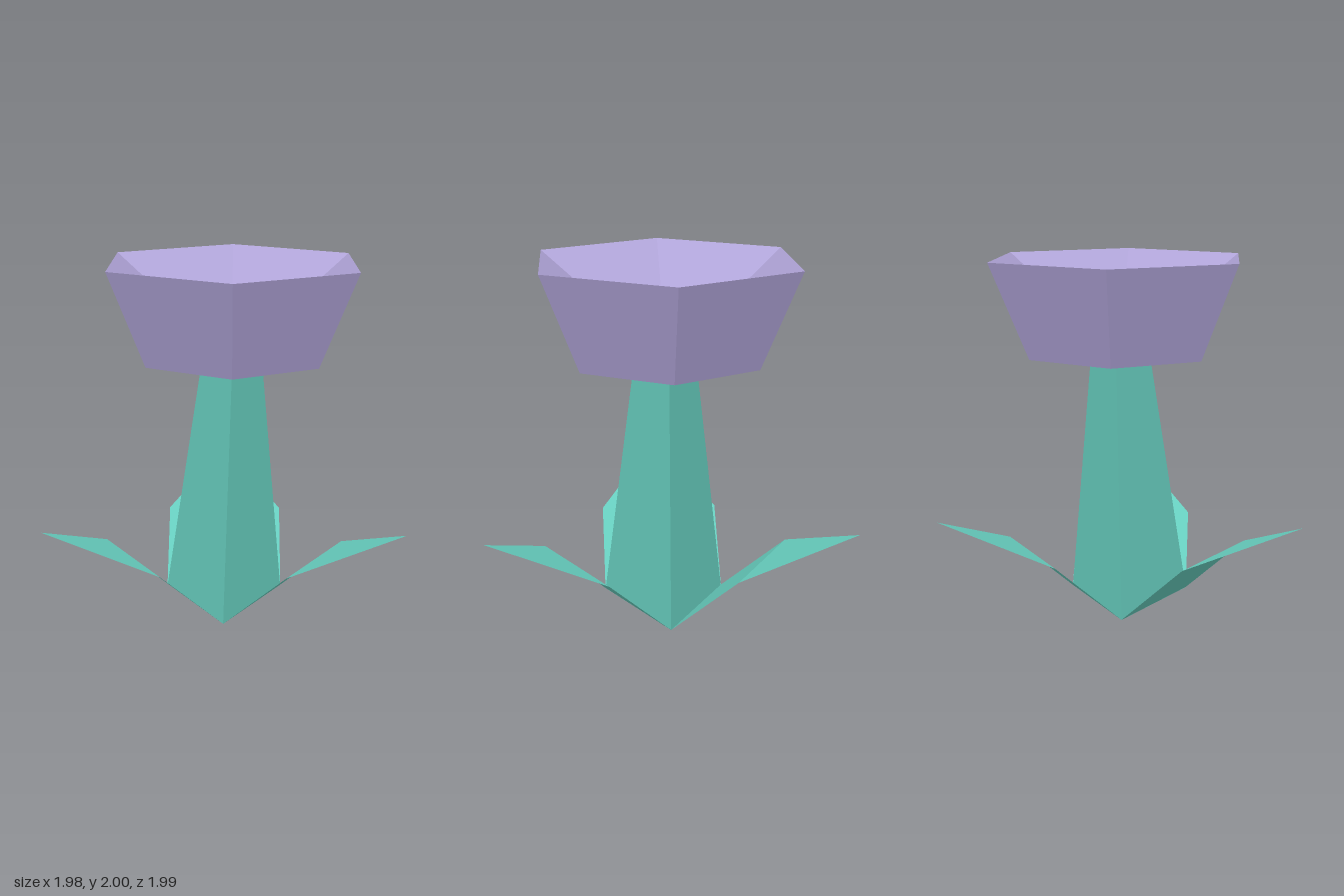
import * as THREE from 'three';

const material = (color, side = THREE.FrontSide) =>
  new THREE.MeshStandardMaterial({ color, flatShading: true, side });

function addMesh(parent, name, geometry, mat) {
  const mesh = new THREE.Mesh(geometry, mat);
  mesh.name = name;
  parent.add(mesh);
  return mesh;
}

export function createModel() {
  const model = new THREE.Group();
  model.name = 'flower';
  const green = 0x66ccbd, purple = 0xb0a4d8;
  const baseX = 0.157, headX = 0.205, stemTop = 1.455;

  // Three-sided tapered stem, sheared slightly towards +x
  const stemGeometry = new THREE.CylinderGeometry(0.195, 0.397, stemTop, 3, 1, false, Math.PI / 2);
  stemGeometry.translate(0, stemTop / 2, 0);
  const p = stemGeometry.attributes.position;
  for (let i = 0; i < p.count; i++) {
    p.setX(i, p.getX(i) + THREE.MathUtils.lerp(baseX, headX, p.getY(i) / stemTop));
  }
  addMesh(model, 'stem', stemGeometry, material(green));

  // Leaf: a rising rectangle ending in a pointed, shallower triangle
  const half = 0.345, foot = 0.198;
  const leafGeometry = new THREE.BufferGeometry();
  leafGeometry.setAttribute('position', new THREE.Float32BufferAttribute([
    -half, 0, foot, half, 0, foot,
    half, 0.36, foot + 0.4, -half, 0.36, foot + 0.4,
    0, 0.605, foot + 0.95,
  ], 3));
  leafGeometry.setIndex([0, 1, 2, 0, 2, 3, 3, 2, 4]);
  leafGeometry.computeVertexNormals();
  const leafMaterial = material(green, THREE.DoubleSide);
  ['rightLeaf', 'frontLeaf', 'backLeaf'].forEach((name, i) => {
    const leaf = addMesh(model, name, leafGeometry, leafMaterial);
    leaf.position.x = baseX;
    leaf.rotation.y = -Math.PI / 2 + (i * 2 * Math.PI) / 3;
  });

  // Hexagonal flower head: closed underside, outer wall, sharp rim, inner wall
  const floorY = 1.725, floorRadius = 0.39;
  const head = new THREE.Group();
  head.name = 'flowerHead';
  head.position.x = headX;
  head.rotation.y = Math.PI / 6;
  model.add(head);
  const profile = [[0, stemTop], [0.55, stemTop], [0.782, 2], [floorRadius, floorY]]
    .map(([r, y]) => new THREE.Vector2(r, y));
  addMesh(head, 'petals', new THREE.LatheGeometry(profile, 6), material(purple));

  // Grey floor inside the head
  const center = new THREE.CircleGeometry(floorRadius, 6, Math.PI / 2);
  center.rotateX(-Math.PI / 2);
  center.translate(0, floorY, 0);
  addMesh(head, 'flowerCenter', center, material(0xcccccc));

  return model;
}
